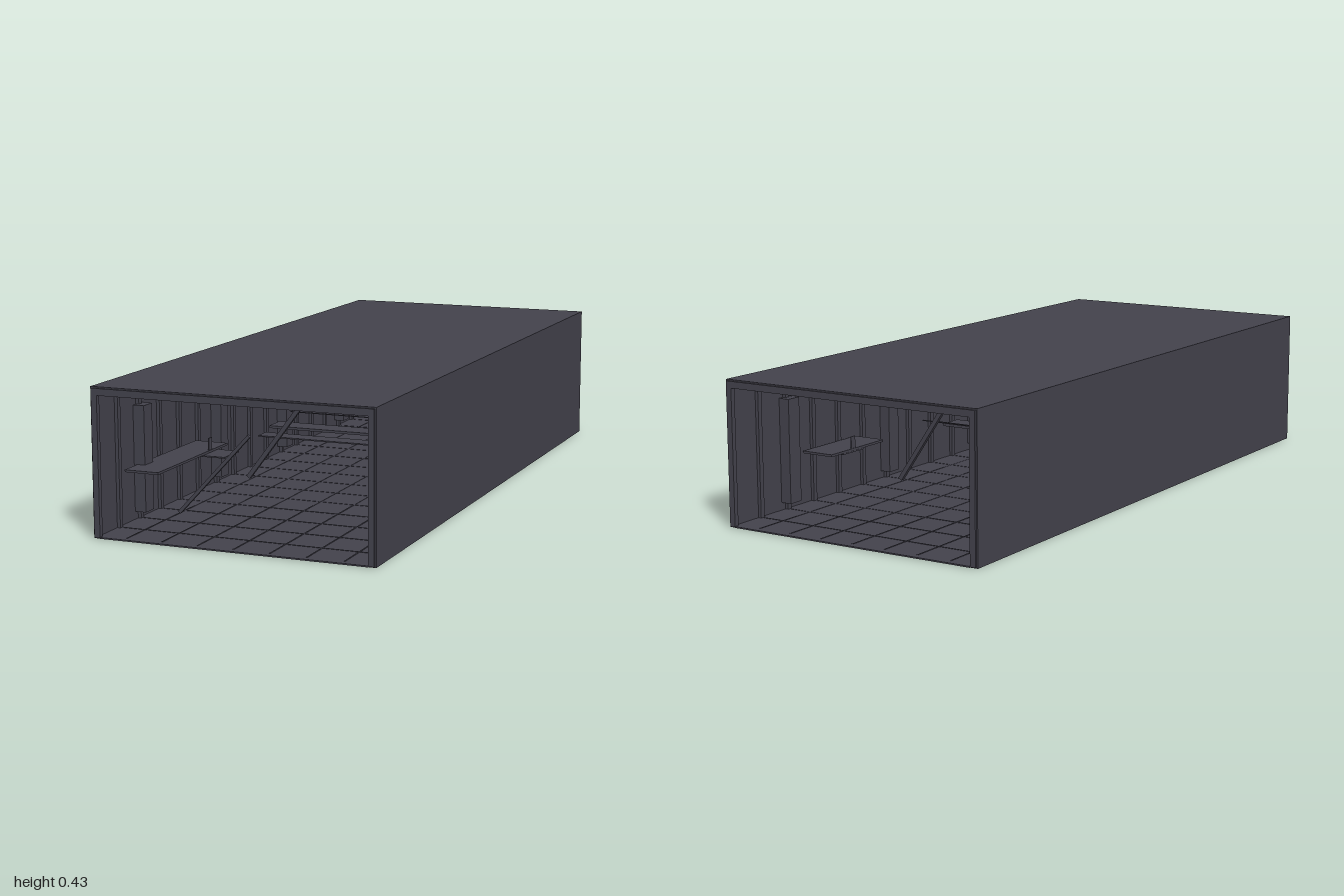
import * as THREE from 'three';

export function createModel() {
  const model = new THREE.Group();
  const steel = new THREE.MeshStandardMaterial({ color: 0x42414b });
  steel.name = 'dark steel';

  // Box given by its extents on each axis
  const box = (name, x0, x1, y0, y1, z0, z1) => {
    const mesh = new THREE.Mesh(new THREE.BoxGeometry(x1 - x0, y1 - y0, z1 - z0), steel);
    mesh.position.set((x0 + x1) / 2, (y0 + y1) / 2, (z0 + z1) / 2);
    mesh.name = name;
    model.add(mesh);
    return mesh;
  };
  // The same box on both sides, from x distances to the middle
  const pair = (name, a, b, ...rest) => {
    box(name + 'Left', a, b, ...rest);
    box(name + 'Right', -b, -a, ...rest);
  };
  // Square beam leaning across the corridor
  const beam = (name, x0, y0, x1, y1, size, z) => {
    const length = Math.hypot(x1 - x0, y1 - y0);
    const mesh = new THREE.Mesh(new THREE.BoxGeometry(length, size, size), steel);
    mesh.position.set((x0 + x1) / 2, (y0 + y1) / 2, z);
    mesh.rotation.z = Math.atan2(y1 - y0, x1 - x0);
    mesh.name = name;
    model.add(mesh);
  };

  // Shell, open at both ends
  const end = 0.994;
  box('floor', -0.427, 0.427, 0, 0.005, -end, end);
  box('roof', -0.427, 0.427, 0.42, 0.434, -end, end);
  pair('wall', 0.415, 0.427, 0.005, 0.42, -end, end);

  // Slightly inset frames around the openings
  for (const s of [-1, 1]) {
    const z0 = s > 0 ? 0.985 : -1, z1 = z0 + 0.015;
    pair('endPost', 0.405, 0.423, 0.003, 0.43, z0, z1);
    box('endLintel', -0.405, 0.405, 0.41, 0.43, z0, z1);
    box('endSill', -0.405, 0.405, 0.001, 0.005, z0, z1);
  }

  // Wall ribs, ceiling ribs and floor seams
  for (let i = 0; i < 15; i++) {
    const z = -0.875 + i * 0.125;
    pair('wallRib', 0.405, 0.415, 0.005, 0.41, z - 0.008, z + 0.008);
    box('ceilingRib', -0.415, 0.415, 0.41, 0.42, z - 0.008, z + 0.008);
    box('floorSeam', -0.4, 0.4, 0.005, 0.006, z - 0.002, z + 0.002);
  }
  for (let i = -3; i <= 3; i++) {
    box('floorStrip', i * 0.11 - 0.002, i * 0.11 + 0.002, 0.005, 0.006, -0.98, 0.98);
  }
  box('ceilingSpine', -0.014, 0.014, 0.409, 0.42, -0.98, 0.98);

  // Raised wall and ceiling panels
  for (const z of [-0.75, -0.25, 0.25, 0.75]) {
    pair('wallPillar', 0.38, 0.415, 0.028, 0.344, z - 0.025, z + 0.025);
    pair('ceilingPanel', 0.026, 0.322, 0.404, 0.412, z - 0.07, z + 0.07);
    pair('ceilingLamp', 0.11, 0.222, 0.4, 0.404, z - 0.025, z + 0.025);
  }

  // Wall shelves with a thin upright edge
  for (const [side, z0, z1] of [[-1, 0.4, 0.85], [1, -0.68, -0.42]]) {
    const span = (name, a, b, ...rest) =>
      side > 0 ? box(name, a, b, ...rest) : box(name, -b, -a, ...rest);
    span('shelf', 0.298, 0.405, 0.162, 0.169, z0, z1);
    span('shelfBracket', side > 0 ? 0.3 : 0.23, 0.375, 0.157, 0.161, z0 + 0.06, z0 + 0.16);
    span('shelfEdge', 0.3, 0.303, 0.169, 0.206, z0 + 0.1, z0 + 0.12);
  }

  // Fallen planks and cables across the middle
  box('plank', -0.327, 0.325, 0.145, 0.153, -0.05, 0.03);
  box('thinPlank', -0.316, 0.314, 0.138, 0.142, 0.08, 0.14);
  box('lowerCable', -0.318, 0.317, 0.172, 0.175, -0.12, -0.117);
  box('upperCable', -0.318, 0.317, 0.185, 0.188, -0.18, -0.177);

  // Leaning beams
  beam('leaningBeam', -0.321, 0.019, -0.109, 0.3, 0.014, 0.2);
  beam('thinLeaningBeam', -0.293, 0.027, -0.067, 0.27, 0.01, 0.73);
  beam('oppositeBeam', 0.318, 0.019, 0.122, 0.308, 0.014, -0.3);

  return model;
}
